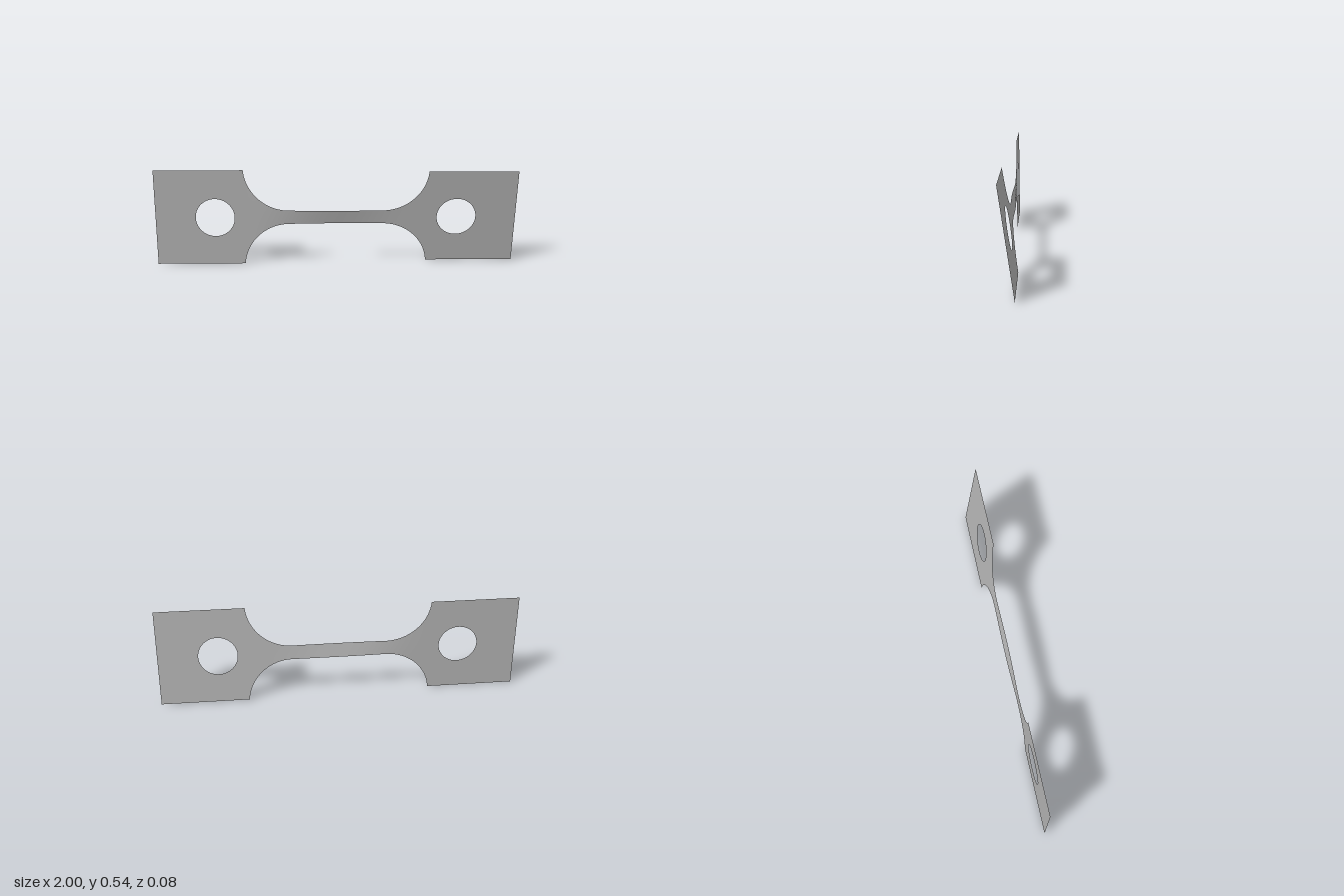
import * as THREE from 'three';

const MID = 0.2717;            // height of the long axis
const GRIP = 0.2717;           // half height of the grips
const WAIST = 0.04;            // half height of the narrow bar
const HOLE_X = 0.67, HOLE_R = 0.108;
const FIL_X = 0.26, FIL_R = 0.25;   // fillet centre and radius

// Twist of the sheet about its long axis, strongest in the bar
function twist(x) {
  const ramp = THREE.MathUtils.smoothstep(x, -0.45, 0.45);
  const u = Math.min(1, Math.abs(x + 0.03) / 0.5);
  return THREE.MathUtils.degToRad(0.7 + 8 * ramp + 10 * (1 - u * u) ** 3);
}

// Half height of the bar and its fillets
function barHalf(x) {
  const d = Math.max(0, Math.abs(x) - FIL_X);
  return Math.min(GRIP, WAIST + FIL_R - Math.sqrt(Math.max(0, FIL_R * FIL_R - d * d)));
}

// Twisted sheet spanned between a lower and an upper edge
function sheet(xs, lower, upper) {
  const pos = [], index = [];
  const rows = 6;
  xs.forEach((x, i) => {
    const a = twist(x), lo = lower(x), hi = upper(x);
    for (let j = 0; j <= rows; j++) {
      const v = lo + (hi - lo) * j / rows;
      pos.push(x, MID + v * Math.cos(a), v * Math.sin(a));
      if (i && j) {
        const d = i * (rows + 1) + j, c = d - 1, b = d - rows - 1, e = b - 1;
        index.push(e, c, d, e, d, b);
      }
    }
  });
  const g = new THREE.BufferGeometry();
  g.setAttribute('position', new THREE.Float32BufferAttribute(pos, 3));
  g.setIndex(index);
  g.computeVertexNormals();
  return g;
}

const span = (a, b, n) => Array.from({ length: n + 1 }, (_, i) => a + (b - a) * i / n);

export function createModel() {
  const model = new THREE.Group();
  const steel = new THREE.MeshStandardMaterial({ color: 0xb0b0b0, side: THREE.DoubleSide });
  steel.name = 'grey steel';

  const add = (parent, name, geometry) => {
    const mesh = new THREE.Mesh(geometry, steel);
    mesh.name = name;
    parent.add(mesh);
  };

  const inner = FIL_X + Math.sqrt(FIL_R ** 2 - (WAIST + FIL_R - GRIP) ** 2);

  // Narrow bar with a quarter-round fillet at each end
  const end = Math.asin((inner - FIL_X) / FIL_R);
  const fillet = span(0, end, 32).map(t => FIL_X + FIL_R * Math.sin(t));
  const barXs = [
    ...fillet.map(x => -x).reverse(),
    ...span(-FIL_X, FIL_X, 32).slice(1, -1),
    ...fillet,
  ];
  add(model, 'bar', sheet(barXs, x => -barHalf(x), barHalf));

  // Square grips, each with a round hole
  for (const side of [-1, 1]) {
    const grip = new THREE.Group();
    grip.name = side < 0 ? 'rightGrip' : 'leftGrip';
    const cx = side * HOLE_X;
    const hole = x => Math.sqrt(Math.max(0, HOLE_R ** 2 - (x - cx) ** 2));
    const holeXs = span(Math.PI, 0, 40).map(t => cx + HOLE_R * Math.cos(t));
    const ends = [side * inner, side * 1].sort((a, b) => a - b);
    const low = () => -GRIP, high = () => GRIP;
    add(grip, 'gripBeforeHole', sheet(span(ends[0], cx - HOLE_R, 8), low, high));
    add(grip, 'gripAfterHole', sheet(span(cx + HOLE_R, ends[1], 8), low, high));
    add(grip, 'gripAboveHole', sheet(holeXs, hole, high));
    add(grip, 'gripBelowHole', sheet(holeXs, low, x => -hole(x)));
    model.add(grip);
  }
  return model;
}
